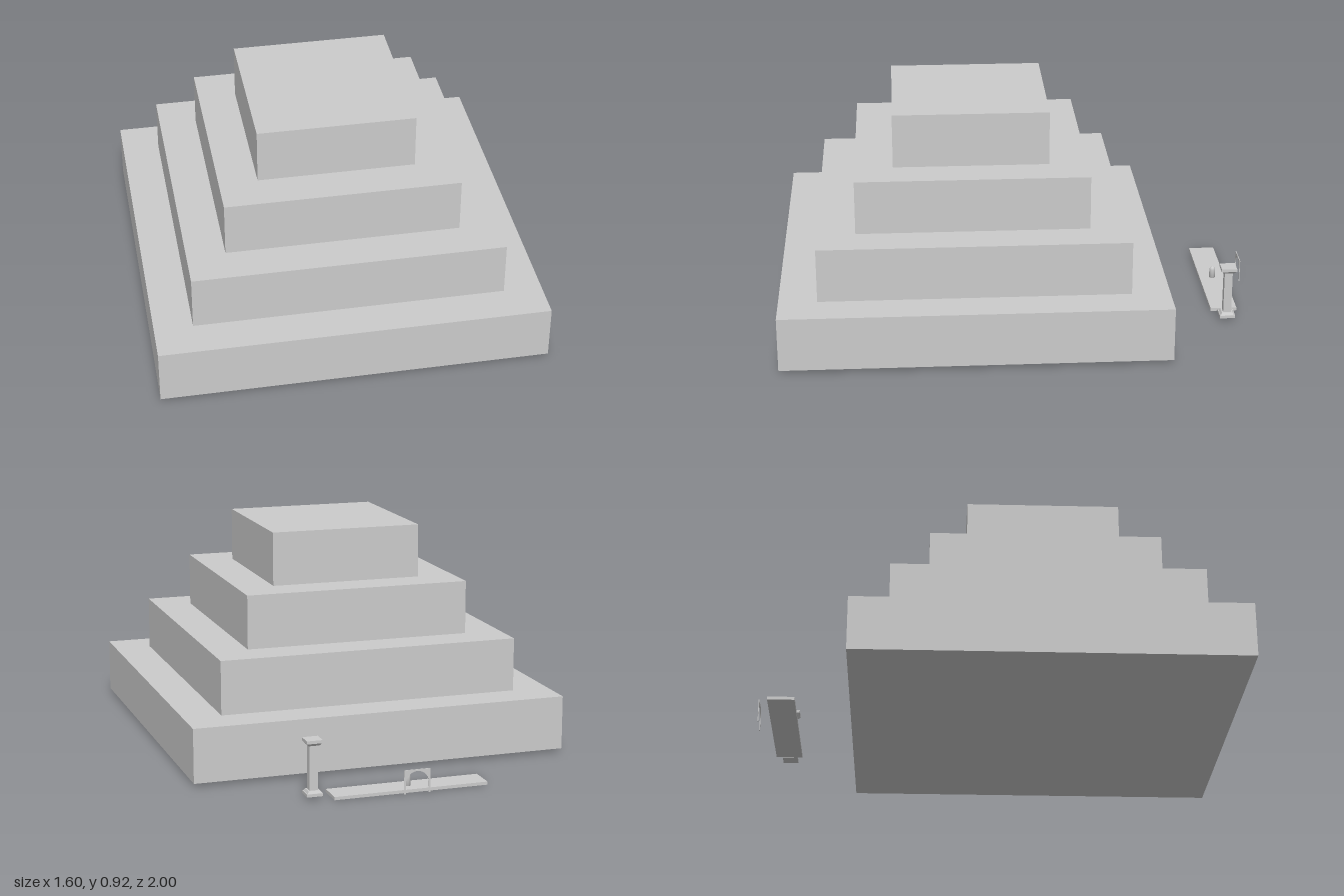
import * as THREE from 'three';

const material = new THREE.MeshStandardMaterial({ color: 0xcccccc, side: THREE.DoubleSide });
const flatMaterial = new THREE.MeshStandardMaterial({ color: 0xcccccc, flatShading: true });
const FLOOR = 0.014;

function add(parent, name, geometry, x, y, z, mat = flatMaterial) {
  const mesh = new THREE.Mesh(geometry, mat);
  mesh.name = name;
  mesh.position.set(x, y, z);
  parent.add(mesh);
  return mesh;
}

// Box standing on height y
function block(parent, name, w, h, d, x, y, z) {
  return add(parent, name, new THREE.BoxGeometry(w, h, d), x, y + h / 2, z);
}

// Four-sided frustum standing on height y, sized by its side lengths
function taper(parent, name, bottom, top, h, y) {
  const g = new THREE.CylinderGeometry(top / Math.SQRT2, bottom / Math.SQRT2, h, 4);
  g.rotateY(Math.PI / 4);
  return add(parent, name, g, 0, y + h / 2, 0);
}

export function createModel() {
  const model = new THREE.Group();
  model.name = 'steppedPyramid';

  // Four stacked tiers
  const tierHeight = 0.2275;
  for (let i = 0; i < 4; i++) {
    const side = 1.604 - i * 0.318;
    block(model, `tier${i + 1}`, side, tierHeight, side, 0, FLOOR + i * tierHeight, 0.196);
  }

  // Low slab behind the pyramid
  block(model, 'slab', 0.645, 0.013, 0.112, 0, 0, -0.886);

  // Square column with stepped base and flared capital
  const column = new THREE.Group();
  column.name = 'column';
  column.position.set(0.395, FLOOR, -0.886);
  block(column, 'plinth', 0.065, 0.012, 0.065, 0, 0, 0);
  taper(column, 'baseMoulding', 0.058, 0.046, 0.01, 0.012);
  block(column, 'shaft', 0.034, 0.184, 0.034, 0, 0.022, 0);
  taper(column, 'capitalFlare', 0.044, 0.062, 0.011, 0.204);
  block(column, 'abacus', 0.065, 0.0125, 0.065, 0, 0.215, 0);
  model.add(column);

  // Small round-topped post on the slab
  const profile = [[0, 0], [0.013, 0], [0.013, 0.038], [0.011, 0.045], [0.007, 0.05], [0, 0.052]];
  const post = new THREE.LatheGeometry(profile.map(([r, y]) => new THREE.Vector2(r, y)), 12);
  add(model, 'post', post, 0, 0.013, -0.886, material);

  // Thin panel with an arched opening
  const w = 0.055, h = 0.098, r = 0.048, spring = 0.043;
  const panel = new THREE.Shape();
  panel.moveTo(-w, 0);
  panel.lineTo(-r, 0);
  panel.lineTo(-r, spring);
  panel.absarc(0, spring, r, Math.PI, 0, true);
  panel.lineTo(r, 0);
  panel.lineTo(w, 0);
  panel.lineTo(w, h);
  panel.lineTo(-w, h);
  panel.closePath();
  const arch = new THREE.ExtrudeGeometry(panel, { depth: 0.003, bevelEnabled: false, curveSegments: 16 });
  add(model, 'archPanel', arch, 0, FLOOR, -1);

  return model;
}
